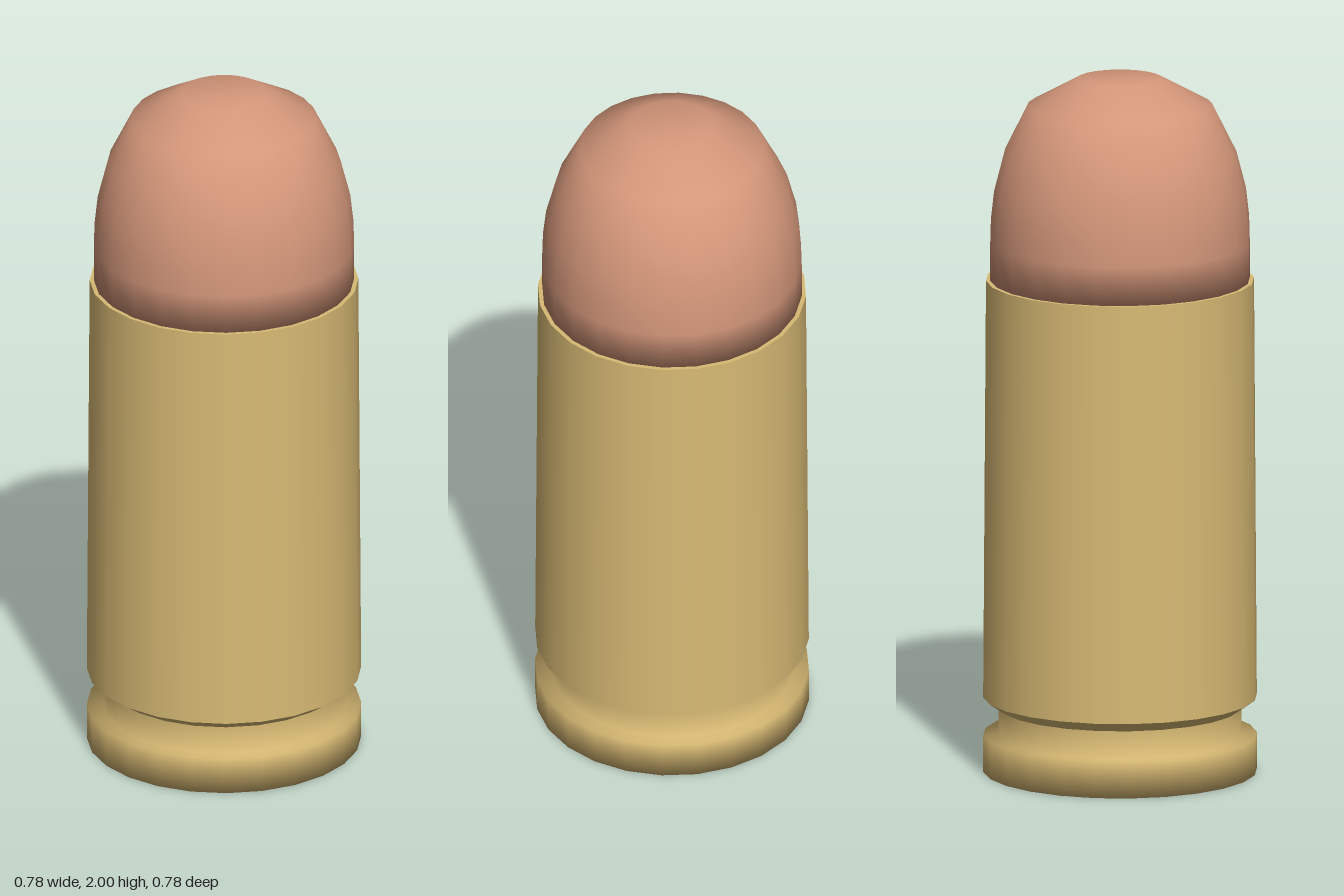
import * as THREE from 'three';

const SIDES = 24;

export function createModel() {
  const group = new THREE.Group();

  const brass = new THREE.MeshStandardMaterial({ color: 0xd8ba74 });
  brass.name = 'brass';
  const copper = new THREE.MeshStandardMaterial({ color: 0xd4977a });
  copper.name = 'copper';

  // Turns a bottom-to-top [radius, height] profile around the y axis
  function turn(name, material, profile) {
    const points = profile.map(([r, y]) => new THREE.Vector2(r, y));
    const mesh = new THREE.Mesh(new THREE.LatheGeometry(points, SIDES), material);
    mesh.name = name;
    group.add(mesh);
  }

  // Base disc, rim and extraction groove
  turn('rim', brass, [
    [0, 0], [0.388, 0], [0.388, 0.105], [0.345, 0.105], [0.345, 0.185],
  ]);

  // Bevel above the groove
  turn('grooveBevel', brass, [[0.345, 0.185], [0.388, 0.215]]);

  // Slightly tapered case wall
  turn('caseWall', brass, [[0.388, 0.215], [0.38, 1.42]]);

  // Flat mouth of the case
  turn('caseMouth', brass, [[0.38, 1.42], [0.355, 1.42]]);

  // Rounded, flat-nosed tip seated in the case
  turn('tip', copper, [
    [0, 1.415], [0.368, 1.415], [0.368, 1.53], [0.366, 1.6], [0.357, 1.68],
    [0.33, 1.785], [0.262, 1.922], [0.12, 2], [0, 2],
  ]);

  return group;
}
